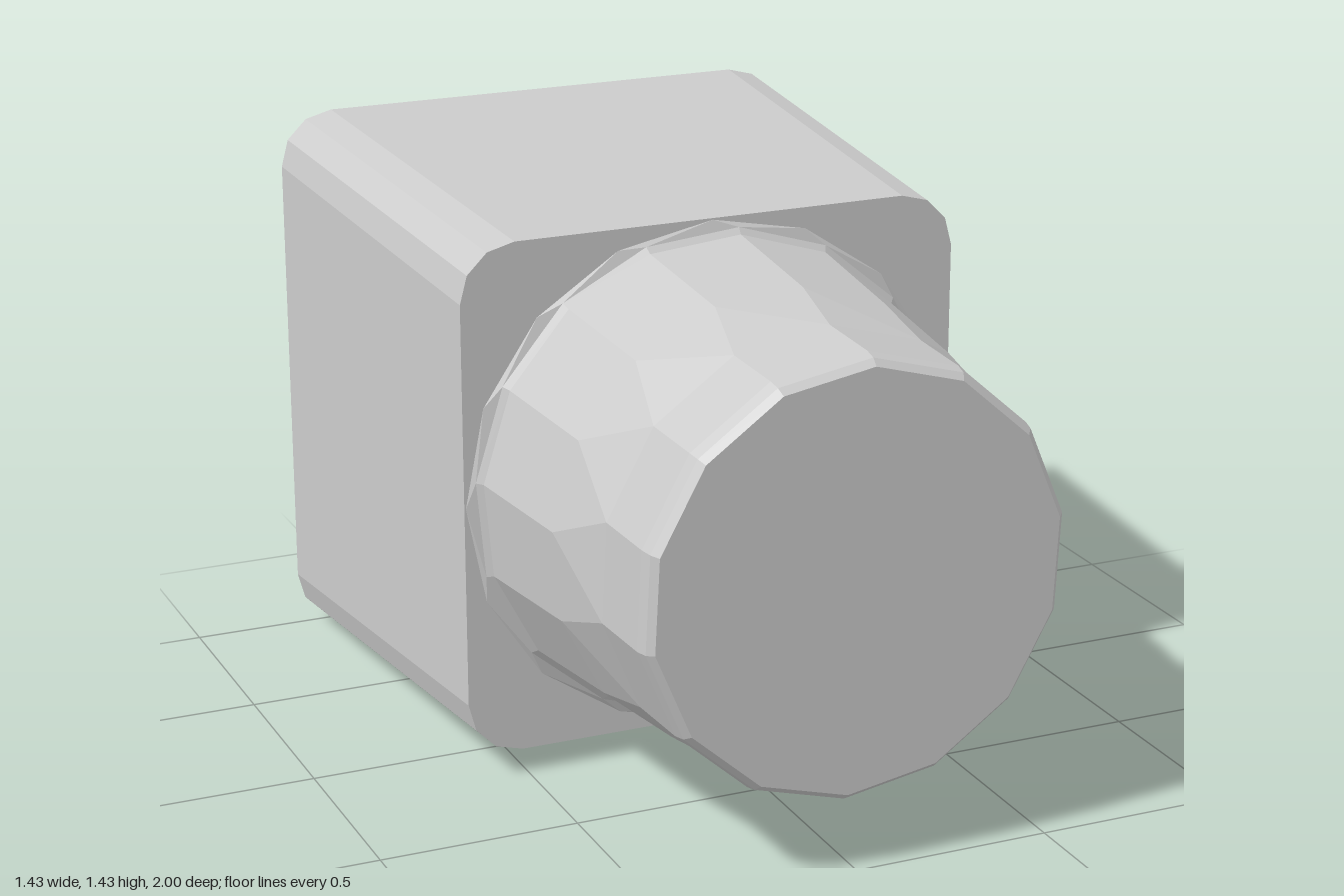
import * as THREE from 'three';

const grey = new THREE.MeshStandardMaterial({ color: 0xcccccc, flatShading: true });
const greyDouble = new THREE.MeshStandardMaterial({ color: 0xcccccc, flatShading: true, side: THREE.DoubleSide });

// Ring of points, counter-clockwise seen from the front; offset in degrees.
function polygonRing(sides, offset, radius, z) {
  return Array.from({ length: sides }, (_, i) => {
    const angle = THREE.MathUtils.degToRad(offset) + (i / sides) * Math.PI * 2;
    return { angle, p: [radius * Math.cos(angle), radius * Math.sin(angle), z] };
  });
}

function roundedSquareRing(half, radius, z) {
  const ring = [];
  for (let corner = 0; corner < 4; corner++) {
    const mid = Math.PI / 4 + corner * Math.PI / 2;
    const cx = Math.sign(Math.cos(mid)) * (half - radius);
    const cy = Math.sign(Math.sin(mid)) * (half - radius);
    for (let i = 0; i <= 3; i++) {
      const angle = (corner + i / 3) * Math.PI / 2;
      ring.push({
        angle: corner * Math.PI / 2 + 0.2 + i * 0.35,
        p: [cx + radius * Math.cos(angle), cy + radius * Math.sin(angle), z],
      });
    }
  }
  return ring;
}

// Skin between successive rings, back to front, even where side counts differ.
function loft(rings, capFront) {
  const pos = [];
  const at = (ring, i) => ring[i % ring.length].p;
  const ang = (ring, i) => ring[i % ring.length].angle + Math.floor(i / ring.length) * Math.PI * 2;
  const middle = (ring, i) => (ang(ring, i) + ang(ring, i + 1)) / 2;
  for (let k = 0; k + 1 < rings.length; k++) {
    const a = rings[k], b = rings[k + 1];
    let i = 0, j = 0;
    while (i < a.length || j < b.length) {
      const stepA = j >= b.length || (i < a.length && middle(a, i) <= middle(b, j));
      if (stepA) {
        pos.push(...at(a, i), ...at(a, i + 1), ...at(b, j));
        i++;
      } else {
        pos.push(...at(a, i), ...at(b, j + 1), ...at(b, j));
        j++;
      }
    }
  }
  if (capFront) {
    const last = rings[rings.length - 1];
    for (let i = 1; i + 1 < last.length; i++) pos.push(...last[0].p, ...last[i].p, ...last[i + 1].p);
  }
  const geometry = new THREE.BufferGeometry();
  geometry.setAttribute('position', new THREE.Float32BufferAttribute(pos, 3));
  geometry.computeVertexNormals();
  return geometry;
}

function addMesh(parent, name, geometry, material = grey) {
  const mesh = new THREE.Mesh(geometry, material);
  mesh.name = name;
  parent.add(mesh);
  return mesh;
}

export function createModel() {
  const model = new THREE.Group();
  model.name = 'squareHousingWithRoundBarrel';
  const parts = new THREE.Group();
  parts.name = 'housingAndBarrel';
  parts.position.y = 0.715;
  model.add(parts);

  // Tapered square housing with rounded corners
  const backRing = roundedSquareRing(0.715, 0.14, -1);
  addMesh(parts, 'housing', loft([backRing, roundedSquareRing(0.652, 0.14, 0.172)], true));

  // Back plate pierced by four screw holes
  const holeRadius = 0.042, holeDepth = 0.2, holeOffset = 0.575;
  const plate = new THREE.Shape(backRing.map(({ p }) => new THREE.Vector2(p[0], p[1])));
  for (const x of [-holeOffset, holeOffset]) {
    for (const y of [-holeOffset, holeOffset]) {
      const hole = new THREE.Path();
      hole.absarc(x, y, holeRadius, 0, Math.PI * 2, true);
      plate.holes.push(hole);

      const wall = new THREE.CylinderGeometry(holeRadius, holeRadius, holeDepth, 12, 1, true).rotateX(Math.PI / 2);
      addMesh(parts, 'screwHoleWall', wall, greyDouble).position.set(x, y, -1 + holeDepth / 2);
      const floor = new THREE.CircleGeometry(holeRadius, 12).rotateY(Math.PI);
      addMesh(parts, 'screwHoleFloor', floor).position.set(x, y, -1 + holeDepth);
    }
  }
  addMesh(parts, 'backPlate', new THREE.ShapeGeometry(plate, 3).rotateY(Math.PI)).position.z = -1;

  // Faceted barrel: sixteen sides at the root, fourteen at the nose
  addMesh(parts, 'barrel', loft([
    polygonRing(16, 16.5, 0.613, 0.195),
    polygonRing(16, 16.5, 0.578, 0.55),
    polygonRing(14, 9.9, 0.547, 0.76),
    polygonRing(14, 9.9, 0.541, 0.95),
    polygonRing(14, 9.9, 0.534, 0.982),
    polygonRing(14, 9.9, 0.518, 1),
  ], true));

  // Small flare where the barrel meets the housing
  addMesh(parts, 'barrelFlare', loft([
    polygonRing(16, 0, 0.648, 0.172),
    polygonRing(16, 16.5, 0.628, 0.181),
    polygonRing(16, 16.5, 0.613, 0.195),
  ], false));

  return model;
}
